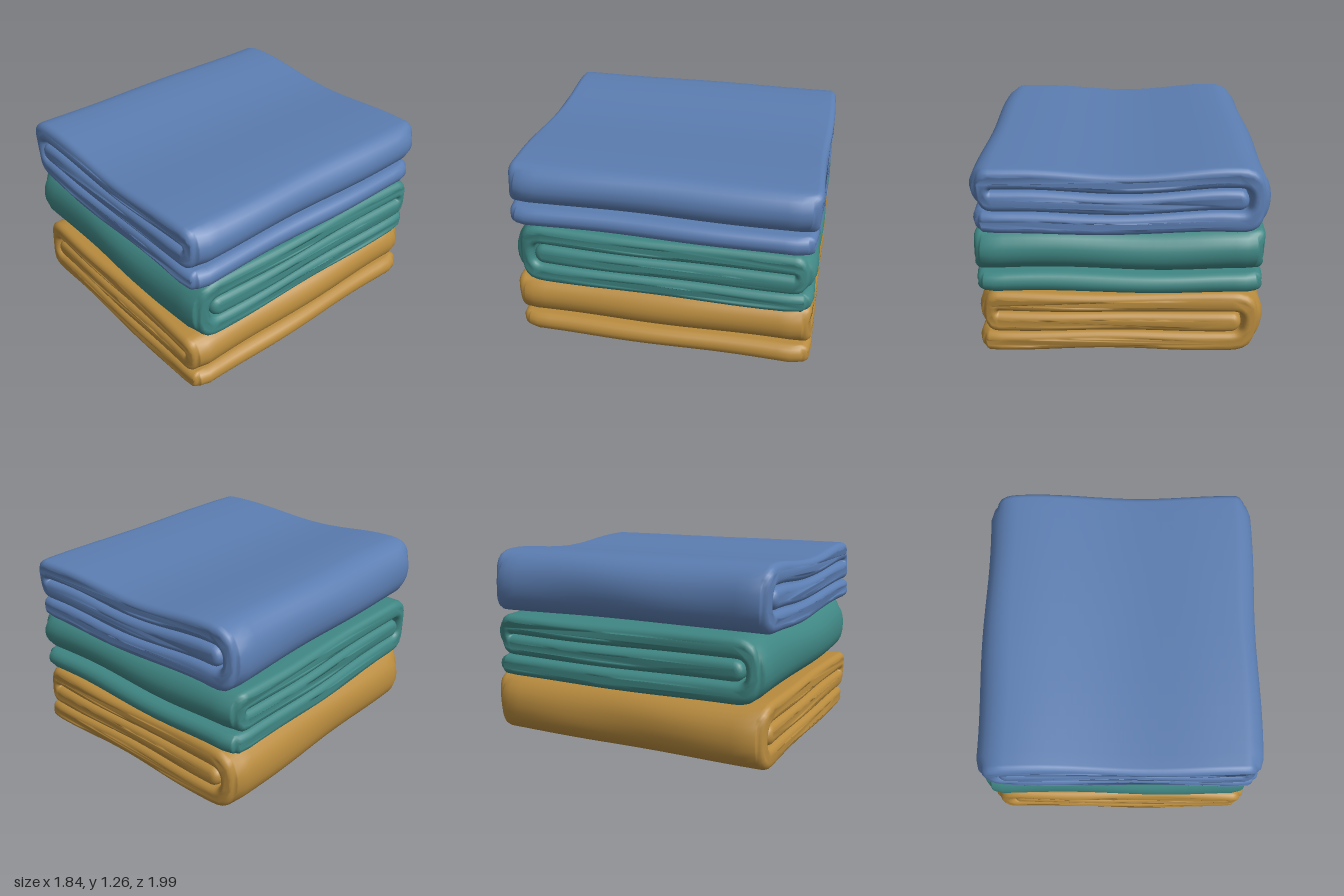
import * as THREE from 'three';
import { mergeVertices } from 'three/addons/utils/BufferGeometryUtils.js';

const HALF = 0.066;   // half the thickness of the cloth
const PITCH = 0.142;  // distance between cloth layers
const BEVEL = 0.045;  // rounding of the side hems

// Centre line of the folded cloth: bottom layer, big wrap, top layer, tucked-in layer
function foldPath(halfWidth) {
  const pts = [];
  const low = 0.068, mid = low + PITCH, top = mid + PITCH;
  const left = -halfWidth + PITCH + HALF;
  const right = halfWidth - PITCH / 2 - HALF;
  const run = (x0, x1, y) => {
    for (let i = 0; i <= 18; i++) pts.push(new THREE.Vector2(x0 + (x1 - x0) * i / 18, y));
  };
  const squared = (v) => Math.sign(v) * Math.abs(v) ** 0.85;
  run(halfWidth - HALF, left, low);
  for (let i = 1; i < 14; i++) {
    const a = -Math.PI / 2 - Math.PI * i / 14;
    pts.push(new THREE.Vector2(left + PITCH * squared(Math.cos(a)), mid + PITCH * squared(Math.sin(a))));
  }
  run(left, right, top);
  for (let i = 1; i < 12; i++) {
    const a = Math.PI / 2 - Math.PI * i / 12;
    pts.push(new THREE.Vector2(right + PITCH / 2 * Math.cos(a), mid + PITCH / 2 + PITCH / 2 * Math.sin(a)));
  }
  run(right, left, mid);
  return pts;
}

// Thickens the centre line into a closed outline with round ends
function foldShape(halfWidth) {
  const path = foldPath(halfWidth), n = path.length;
  const sideA = [], sideB = [];
  const cap = (p, dir) => {
    const out = [];
    const start = Math.atan2(dir.y, dir.x) + Math.PI / 2;
    for (let i = 1; i < 8; i++) {
      const a = start - Math.PI * i / 8;
      out.push(new THREE.Vector2(p.x + HALF * Math.cos(a), p.y + HALF * Math.sin(a)));
    }
    return out;
  };
  const direction = (i) => path[Math.min(i + 1, n - 1)].clone().sub(path[Math.max(i - 1, 0)]).normalize();
  path.forEach((p, i) => {
    const d = direction(i);
    sideA.push(new THREE.Vector2(p.x - d.y * HALF, p.y + d.x * HALF));
    sideB.push(new THREE.Vector2(p.x + d.y * HALF, p.y - d.x * HALF));
  });
  return new THREE.Shape([
    ...sideA, ...cap(path[n - 1], direction(n - 1)),
    ...sideB.reverse(), ...cap(path[0], direction(0).negate()),
  ]);
}

// Soft cloth shaping: rounded plan corners, sagging middle and gentle waves
function soften(geometry, phase) {
  const pos = geometry.attributes.position;
  const r = 0.12;
  for (let i = 0; i < pos.count; i++) {
    let x = pos.getX(i), y = pos.getY(i), z = pos.getZ(i);
    const a = Math.abs(x) - (0.915 - r), b = Math.abs(z) - (0.985 - r);
    if (a > 0 && b > 0) {
      const k = Math.max(a, b) / Math.hypot(a, b);
      x = Math.sign(x) * (0.915 - r + a * k);
      z = Math.sign(z) * (0.985 - r + b * k);
    }
    const height = y / 1.27;
    const middle = 0.5 + 0.5 * Math.cos(Math.PI * Math.min(1, Math.abs(x) / 0.65));
    const hump = Math.exp(-(((x + 0.65) / 0.25) ** 2));
    const wave = Math.sin(Math.PI * height) * 0.008;
    const dy = middle * (0.015 - 0.05 * height) + 0.012 * hump * height
      + wave * Math.sin(3.5 * x + 2 * z + phase);
    const dx = 0.008 * Math.sin(5 * z + 6 * y + phase) * Math.abs(x);
    const dz = 0.008 * Math.sin(5 * x + 7 * y + phase) * Math.abs(z);
    pos.setXYZ(i, x + dx, y + dy, z + dz);
  }
}

function foldedTowel(name, material, baseY, halfWidth, length, turn, phase) {
  let geometry = new THREE.ExtrudeGeometry(foldShape(halfWidth), {
    depth: length - 2 * BEVEL, steps: 24,
    bevelEnabled: true, bevelSize: BEVEL, bevelThickness: BEVEL, bevelOffset: -BEVEL, bevelSegments: 5,
  });
  geometry.translate(0, baseY, -length / 2 + BEVEL);
  geometry.rotateY(turn);
  geometry.deleteAttribute('normal');
  geometry.deleteAttribute('uv');
  geometry.clearGroups();
  geometry = mergeVertices(geometry);
  soften(geometry, phase);
  geometry.computeVertexNormals();
  const mesh = new THREE.Mesh(geometry, material);
  mesh.name = name;
  return mesh;
}

export function createModel() {
  const paint = (name, color) => {
    const m = new THREE.MeshStandardMaterial({ color });
    m.name = name;
    return m;
  };
  const group = new THREE.Group();
  group.name = 'foldedTowelStack';
  group.add(
    foldedTowel('bottomTowel', paint('mustard', 0xb88b3e), 0.008, 0.91, 1.97, 0, 0.5),
    // middle towel is turned so its wrapped edge faces the front
    foldedTowel('middleTowel', paint('teal', 0x3f8683), 0.426, 0.985, 1.81, Math.PI / 2, 2.1),
    foldedTowel('topTowel', paint('blue', 0x5b7db1), 0.844, 0.915, 1.97, 0, 4.0),
  );
  return group;
}
